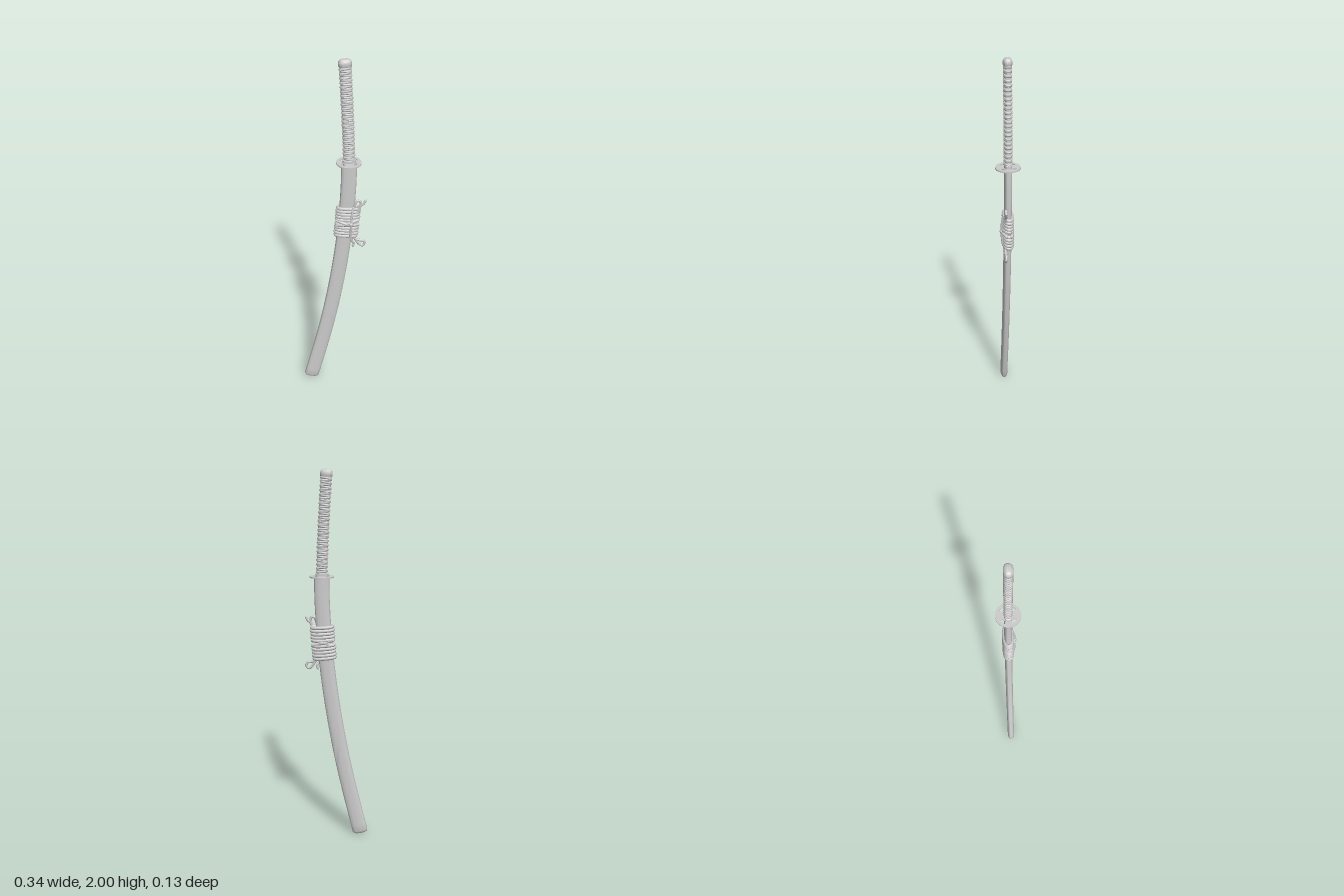
import * as THREE from 'three';
import { toCreasedNormals } from 'three/addons/utils/BufferGeometryUtils.js';

const V = (x, y, z = 0) => new THREE.Vector3(x, y, z);
const material = new THREE.MeshStandardMaterial({ color: 0xcccccc, roughness: 0.7 });

// Curved centre line: x as a smooth function of y
const SPINE = [[-0.136, 0], [-0.087, 0.2], [-0.041, 0.4], [-0.002, 0.6], [0.03, 0.8], [0.055, 1.0],
  [0.071, 1.2], [0.079, 1.4], [0.074, 1.6], [0.064, 1.8], [0.052, 2.0]].map((p) => p[0]);

function spineX(y) {
  const t = THREE.MathUtils.clamp(y / 0.2, 0, 9.9999), i = Math.floor(t), f = t - i;
  const at = (k) => k < 0 ? 2 * SPINE[0] - SPINE[1] : k > 10 ? 2 * SPINE[10] - SPINE[9] : SPINE[k];
  const [a, b, c, d] = [at(i - 1), at(i), at(i + 1), at(i + 2)];
  return b + 0.5 * f * (c - a + f * (2 * a - 5 * b + 4 * c - d + f * (3 * (b - c) + d - a)));
}

// Point on a rounded oval section set square to the centre line
function onSection(y, angle, a, b, shift = 0) {
  const round = (v) => Math.sign(v) * Math.pow(Math.abs(v), 0.8);
  const slope = (spineX(y + 0.01) - spineX(y - 0.01)) / 0.02, len = Math.hypot(1, slope);
  const u = round(Math.cos(angle)) * a + shift;
  return V(spineX(y) + u / len, y - (u * slope) / len, round(Math.sin(angle)) * b);
}

// Solid along the centre line from rows of [y, half width, half depth]
function loft(rows, sides = 32) {
  const pos = [], index = [];
  rows.forEach(([y, a, b], i) => {
    for (let j = 0; j < sides; j++) {
      pos.push(...onSection(y, (j / sides) * Math.PI * 2, a, b).toArray());
      if (i === rows.length - 1) continue;
      const k = (j + 1) % sides, p = i * sides, q = p + sides;
      index.push(p + j, q + j, p + k, p + k, q + j, q + k);
    }
  });
  const geo = new THREE.BufferGeometry();
  geo.setAttribute('position', new THREE.Float32BufferAttribute(pos, 3));
  geo.setIndex(index);
  return toCreasedNormals(geo, 0.7);
}

function add(parent, name, geo) {
  const mesh = new THREE.Mesh(geo, material);
  mesh.name = name;
  parent.add(mesh);
  return mesh;
}

// Round cord through points, with ball ends when open
function cord(parent, name, points, radius, segments, closed = false, sides = 8) {
  const curve = new THREE.CatmullRomCurve3(points, closed);
  add(parent, name, new THREE.TubeGeometry(curve, segments, radius, sides, closed));
  if (closed) return;
  for (const p of [points[0], points[points.length - 1]]) {
    add(parent, name + 'End', new THREE.SphereGeometry(radius, 10, 8)).position.copy(p);
  }
}

export function createModel() {
  const model = new THREE.Group();
  model.name = 'sheathedSword';
  const E = 0.0002;

  // Scabbard with a bevelled foot
  const body = [[0.007, E, E], [0.007, 0.028, 0.01], [0.012, 0.038, 0.016], [0.022, 0.042, 0.02]];
  for (let i = 1; i <= 36; i++) body.push([0.022 + (i / 36) * 1.43, 0.042 - 0.002 * (i / 36), 0.02]);
  body.push([1.452, E, E]);
  add(model, 'scabbard', loft(body));

  // Round guard with four curved slots
  const disc = new THREE.Shape().absarc(0, 0, 0.064, 0, Math.PI * 2);
  for (const middle of [0.7, Math.PI - 0.7, Math.PI + 0.7, -0.7]) {
    const slot = new THREE.Path();
    slot.absarc(0, 0, 0.049, middle - 0.3, middle + 0.3, false);
    slot.absarc(0, 0, 0.034, middle + 0.3, middle - 0.3, true);
    slot.closePath();
    disc.holes.push(slot);
  }
  const guard = add(model, 'guard', new THREE.ExtrudeGeometry(disc, { depth: 0.007, bevelEnabled: false, curveSegments: 40 }));
  guard.rotation.x = -Math.PI / 2;
  guard.position.set(0.078, 1.451, 0);

  // Handle core, collar and rounded pommel
  const handle = new THREE.Group();
  handle.name = 'handle';
  model.add(handle);
  const core = [];
  for (let i = 0; i <= 20; i++) core.push([1.455 + (i / 20) * 0.52, 0.027, 0.016]);
  add(handle, 'handleCore', loft(core));
  add(handle, 'handleCollar', loft([[1.455, E, E], [1.455, 0.034, 0.02], [1.472, 0.034, 0.02], [1.474, 0.031, 0.018], [1.474, E, E]]));
  add(handle, 'pommel', loft([[1.962, E, E], [1.962, 0.03, 0.02], [1.966, 0.032, 0.022], [1.982, 0.032, 0.022],
    [1.991, 0.029, 0.019], [1.996, 0.023, 0.014], [1.999, 0.012, 0.007], [1.9995, E, E]]));

  // Two opposed spiral wraps that cross along the handle
  const turns = 22;
  for (const dir of [1, -1]) {
    const points = [];
    for (let i = 0; i <= turns * 16; i++) {
      const t = i / (turns * 16);
      points.push(onSection(1.476 + t * 0.484, dir * t * turns * Math.PI * 2, 0.0255, 0.0155));
    }
    cord(handle, 'handleWrap', points, 0.0062, turns * 32, false, 7);
  }

  // Cord lashing: two stacks of loops around the scabbard
  const lashing = new THREE.Group();
  lashing.name = 'cordLashing';
  model.add(lashing);
  for (const start of [1.022, 1.12]) {
    for (let i = 0; i < 5; i++) {
      const points = [];
      for (let j = 0; j < 24; j++) {
        const angle = (j / 24) * Math.PI * 2;
        const p = onSection(start + i * 0.0172, angle, 0.056 + 0.002 * (i % 2), 0.0215, 0.008);
        p.y += 0.003 * Math.sin(angle);
        points.push(p);
      }
      cord(lashing, 'cordLoop', points, 0.0092, 64, true);
    }
  }

  // Cross cords between the stacks, vertical strand and front knot
  for (const s of [1, -1]) {
    cord(lashing, 'crossCord', [V(0.018, 1.105 + s * 0.014, 0.014), V(0.045, 1.105 + s * 0.008, 0.027),
      V(0.09, 1.105 - s * 0.008, 0.03), V(0.13, 1.105 - s * 0.014, 0.014)], 0.008, 24);
    cord(lashing, 'backCrossCord', [V(0.02, 1.105 + s * 0.014, -0.014), V(0.07, 1.105, -0.024),
      V(0.13, 1.105 - s * 0.014, -0.014)], 0.008, 24);
  }
  cord(lashing, 'verticalStrand', [V(0.086, 1.02, 0.026), V(0.089, 1.06, 0.032), V(0.091, 1.11, 0.034),
    V(0.094, 1.16, 0.032), V(0.1, 1.2, 0.024)], 0.006, 32);
  add(lashing, 'knot', new THREE.SphereGeometry(0.012, 16, 12)).position.set(0.09, 1.105, 0.033);

  // Loose bow and ends above and below the lashing
  const z = 0.017;
  cord(lashing, 'upperBow', [V(0.108, 1.18, z), V(0.111, 1.215, z), V(0.121, 1.236, z), V(0.135, 1.238, z),
    V(0.141, 1.222, z), V(0.134, 1.2, z), V(0.124, 1.18, z)], 0.0065, 40);
  cord(lashing, 'upperEnd', [V(0.132, 1.18, z), V(0.142, 1.208, z), V(0.156, 1.22, z), V(0.165, 1.237, z)], 0.0065, 20);
  cord(lashing, 'lowerBow', [V(0.1, 1.025, z), V(0.115, 1.003, z), V(0.137, 0.993, z), V(0.158, 0.989, z),
    V(0.166, 0.972, z), V(0.154, 0.958, z), V(0.138, 0.966, z), V(0.124, 0.985, z), V(0.106, 1.015, z)], 0.0068, 48);
  cord(lashing, 'lowerEnd', [V(0.094, 1.025, z + 0.004), V(0.098, 0.99, z + 0.004), V(0.108, 0.975, z), V(0.103, 0.957, z)], 0.0065, 20);

  return model;
}
